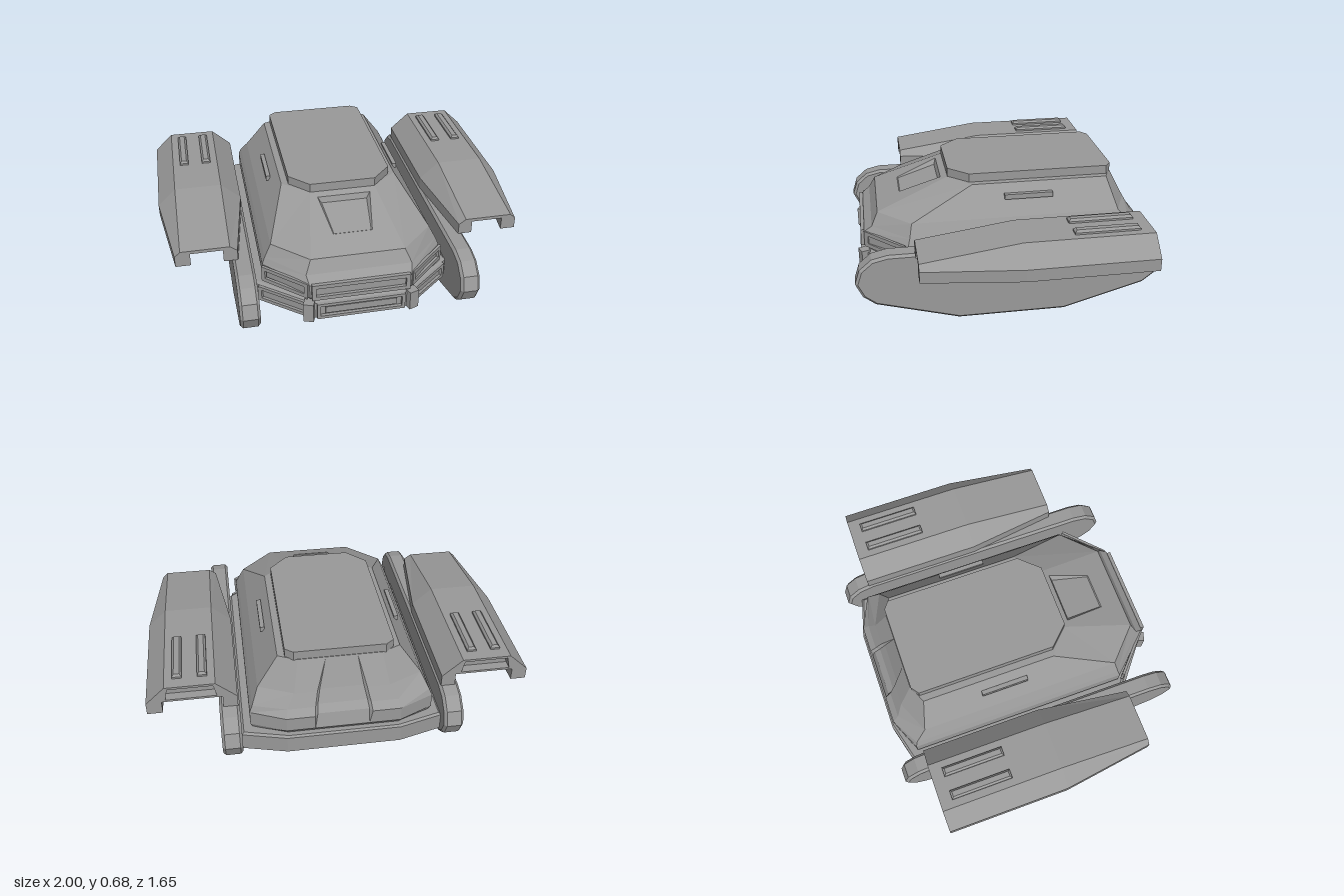
import * as THREE from 'three';

const grey = new THREE.MeshStandardMaterial({ color: 0x999999, flatShading: true });
grey.name = 'plain grey';

const fromAbove = p => new THREE.Vector2(p[0], -p[2]);
const fromFront = p => new THREE.Vector2(p[0], p[1]);

// Joins point rings into a skin; rings run counterclockwise seen from the end they advance towards.
function loft(rings, { closed = true, start = false, end = false, view = fromAbove, skip = () => false } = {}) {
  const v = [];
  const n = rings[0].length;
  for (let r = 0; r < rings.length - 1; r++) {
    const a = rings[r], b = rings[r + 1];
    for (let i = 0; i < (closed ? n : n - 1); i++) {
      if (skip(r, i)) continue;
      const j = (i + 1) % n;
      v.push(a[i], a[j], b[j], a[i], b[j], b[i]);
    }
  }
  const cap = (ring, up) => {
    for (const [a, b, c] of THREE.ShapeUtils.triangulateShape(ring.map(view), [])) {
      v.push(ring[a], ring[up ? b : c], ring[up ? c : b]);
    }
  };
  if (start) cap(rings[0], false);
  if (end) cap(rings[rings.length - 1], true);
  const g = new THREE.BufferGeometry();
  g.setAttribute('position', new THREE.Float32BufferAttribute(v.flat(), 3));
  g.computeVertexNormals();
  return g;
}

// Eight-cornered hull outline at height y.
function outline([y, hx, fx, zf, zfc, rx, zr, zrc]) {
  const half = [[fx, zf], [hx, zfc], [hx, zrc], [rx, zr]];
  const other = half.map(([x, z]) => [-x, z]).reverse();
  return [...half, ...other].map(([x, z]) => [x, y, z]);
}

function frameGeometry(w, h, border, depth) {
  const rect = (C, a, b) => new C([[-a, -b], [a, -b], [a, b], [-a, b]].map(p => new THREE.Vector2(...p)));
  const s = rect(THREE.Shape, w / 2, h / 2);
  s.holes.push(rect(THREE.Path, w / 2 - border, h / 2 - border));
  return new THREE.ExtrudeGeometry(s, { depth, bevelEnabled: false });
}

export function createModel() {
  const model = new THREE.Group();
  model.name = 'armouredVehicle';
  const add = (name, geometry, x = 0, y = 0, z = 0, ry = 0) => {
    const m = new THREE.Mesh(geometry, grey);
    m.name = name;
    m.position.set(x, y, z);
    m.rotation.y = ry;
    model.add(m);
    return m;
  };

  // Lower hull with bevelled belly
  add('lowerHull', loft([
    [0.135, 0.44, 0.20, 0.68, 0.46, 0.25, -0.72, -0.66],
    [0.165, 0.53, 0.25, 0.77, 0.54, 0.30, -0.80, -0.74],
    [0.26, 0.53, 0.25, 0.77, 0.54, 0.30, -0.80, -0.74],
    [0.27, 0.52, 0.25, 0.755, 0.53, 0.29, -0.79, -0.73],
  ].map(outline), { start: true, end: true }));

  // Body and cabin; the hood and the rear column are separate recessed pieces
  const levels = [
    [0.265, 0.47, 0.26, 0.735, 0.52, 0.29, -0.76, -0.69],
    [0.295, 0.483, 0.27, 0.765, 0.535, 0.30, -0.78, -0.70],
    [0.375, 0.483, 0.27, 0.765, 0.535, 0.30, -0.78, -0.70],
    [0.41, 0.468, 0.28, 0.72, 0.525, 0.29, -0.745, -0.69],
    [0.48, 0.432, 0.25, 0.685, 0.51, 0.25, -0.705, -0.625],
    [0.635, 0.32, 0.18, 0.285, 0.17, 0.22, -0.625, -0.58],
  ];
  add('cabin', loft(levels.map(outline), {
    start: true, end: true,
    skip: (r, i) => i === 3 || (i === 7 && r === 4),
  }));

  // Sloping hood with sunken scoop
  const quad = (x0, y0, z0, x1, y1, z1) => [[-x0, y0, z0], [x0, y0, z0], [x1, y1, z1], [-x1, y1, z1]];
  add('hoodScoop', loft([
    quad(0.25, 0.48, 0.685, 0.18, 0.635, 0.285),
    quad(0.105, 0.53, 0.556, 0.145, 0.62, 0.324),
    quad(0.10, 0.527, 0.55, 0.125, 0.588, 0.335),
  ], { end: true }));

  // Rear panel with a shallow channel that narrows towards the roof
  const depths = [0, 0, 0.022, 0.022, 0.018, 0];
  const widths = [0.15, 0.15, 0.15, 0.145, 0.13, 0.09];
  add('rearPanel', loft(levels.map(([y, , , , , rx, zr], k) => {
    const w = widths[k], d = depths[k];
    return [[rx, 0], [w, 0], [w - 0.015, d], [0.015 - w, d], [-w, 0], [-rx, 0]].map(([x, e]) => [x, y, zr + e]);
  }), { closed: false }));

  // Roof slab
  add('roof', loft([0.63, 0.683].map(y =>
    outline([y, 0.283, 0.18, 0.288, 0.18, 0.24, -0.622, -0.59])), { start: true, end: true }));

  // Front frames on the body and bumper
  add('frontWindowFrame', frameGeometry(0.52, 0.095, 0.022, 0.02), 0, 0.335, 0.762);
  add('bumperFrame', frameGeometry(0.47, 0.095, 0.017, 0.02), 0, 0.215, 0.768);
  add('bumperBar', new THREE.BoxGeometry(0.38, 0.04, 0.015), 0, 0.215, 0.772);

  // Track outline, front half then mirrored rear half
  const front = [[0.29, 0], [0.73, 0.13], [0.79, 0.18], [0.823, 0.255], [0.80, 0.33], [0.74, 0.385], [0.66, 0.405]];
  const inset = 0.014;
  const loop = [...front, ...front.map(([z, y]) => [-z, y]).reverse()]
    .map(([z, y]) => new THREE.Vector2(z * (1 - inset / 0.82), 0.2025 + (y - 0.2025) * (1 - inset / 0.2025)));
  const trackGeometry = new THREE.ExtrudeGeometry(new THREE.Shape(loop), {
    depth: 0.077, bevelEnabled: true, bevelThickness: 0.014, bevelSize: inset, bevelSegments: 1,
  });
  trackGeometry.translate(0, 0, -0.0385).rotateY(Math.PI / 2);

  // Fender cross-section: outer wall, shoulders, inner wall and hollow underside
  const section = (s, z, outer, inner, edgeY, topY) => {
    const p = [
      [outer, 0.405], [outer, edgeY], [0.90, topY], [0.643, topY], [inner, edgeY], [inner, 0.405],
      [inner + 0.075, 0.405], [inner + 0.075, 0.475], [outer - 0.08, 0.475], [outer - 0.08, 0.405],
    ].map(([x, y]) => [s * x, y, z]);
    return s > 0 ? p : p.reverse();
  };

  for (const s of [1, -1]) {
    const side = s > 0 ? 'left' : 'right';
    add(side + 'Track', trackGeometry, s * 0.5825);

    // Fender body, tapering and dropping towards the front
    add(side + 'Fender', loft([
      section(s, -0.62, 1, 0.537, 0.47, 0.565),
      section(s, 0, 1, 0.537, 0.47, 0.565),
      section(s, 0.51, 0.93, 0.605, 0.465, 0.493),
    ], { start: true, end: true, view: fromFront }));

    // Fender tail with a recessed opening
    const tail = new THREE.Shape(section(s, 0, 1, 0.537, 0.47, 0.565).map(fromFront));
    tail.holes.push(new THREE.Path([[0.64, 0.487], [0.90, 0.487], [0.885, 0.552], [0.655, 0.552]]
      .map(([x, y]) => new THREE.Vector2(s * x, y))));
    add(side + 'FenderTail', new THREE.ExtrudeGeometry(tail, { depth: 0.05, bevelEnabled: false }), 0, 0, -0.67);

    // Twin ridges on the fender
    for (const x of [0.707, 0.835]) {
      const ridge = [[0.56, 0.025, 0.168], [0.575, 0.025, 0.168], [0.587, 0.014, 0.157]].map(([y, w, l]) =>
        [[-w, y, l], [w, y, l], [w, y, -l], [-w, y, -l]]);
      add(side + 'FenderRidge', loft(ridge, { end: true }), s * x, 0, -0.435);
    }

    // Side slit, corner frames and bumper posts
    add(side + 'SideSlit', new THREE.BoxGeometry(0.024, 0.028, 0.265), s * 0.372, 0.576, -0.133);
    add(side + 'CornerWindowFrame', frameGeometry(0.29, 0.09, 0.022, 0.015), s * 0.3765, 0.335, 0.65, s * 0.75);
    add(side + 'BumperCornerFrame', frameGeometry(0.30, 0.09, 0.02, 0.015), s * 0.39, 0.215, 0.655, s * 0.687);
    add(side + 'BumperPost', new THREE.BoxGeometry(0.055, 0.11, 0.05), s * 0.275, 0.217, 0.768, s * 0.35);
  }
  return model;
}
